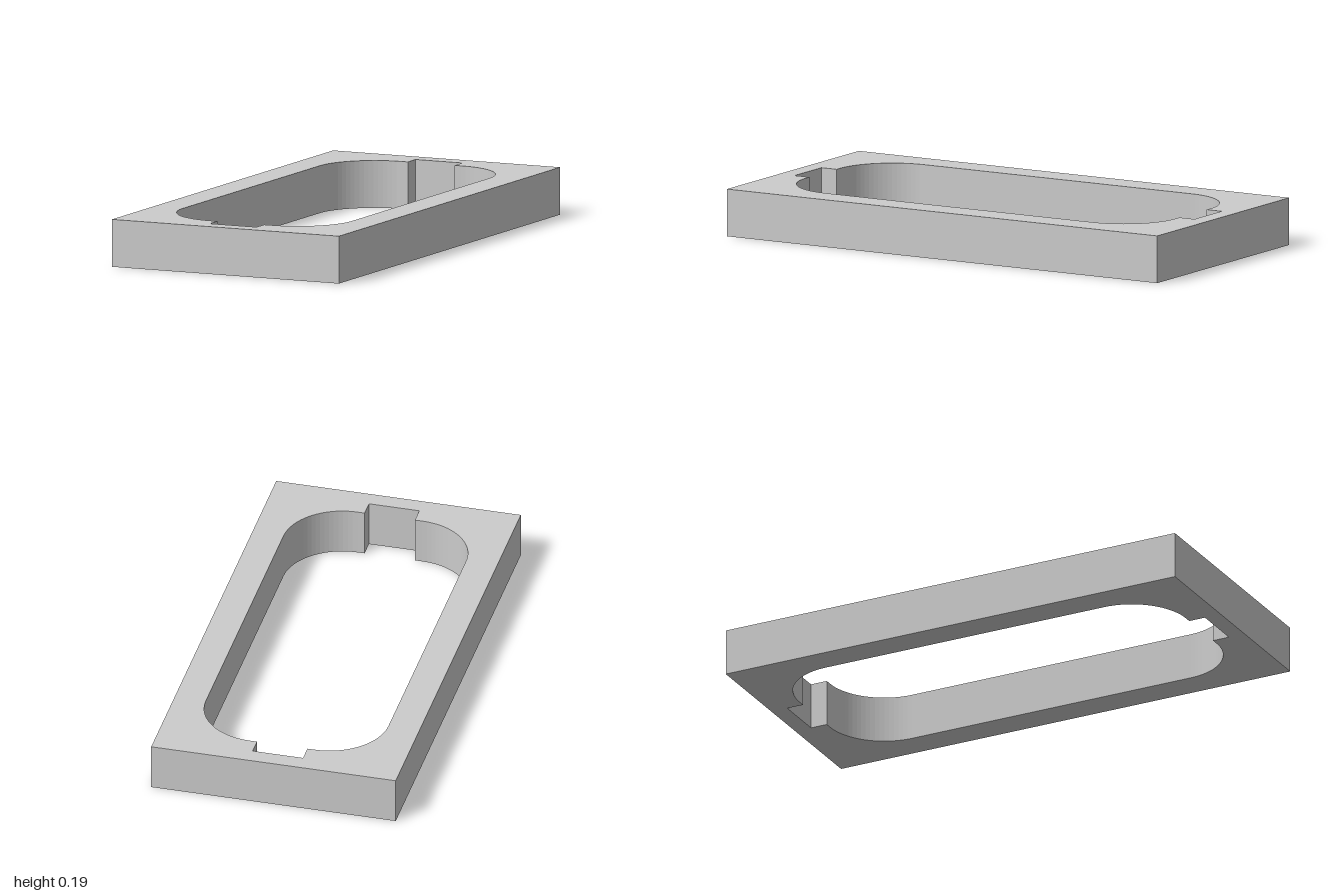
import * as THREE from 'three';

const WIDTH = 1, LENGTH = 2, HEIGHT = 0.19;
const HOLE_X = 0.373, HOLE_Z = 0.86, RADIUS = 0.24; // rounded opening, half sizes
const NOTCH_X = 0.103, NOTCH_Z = 0.93;              // square notch at each end

// Rounded opening with a notch in both short ends
function openingPath() {
  const path = new THREE.Path();
  const cx = HOLE_X - RADIUS, cz = HOLE_Z - RADIUS, q = Math.PI / 2;
  path.moveTo(HOLE_X, -cz);
  for (const s of [1, -1]) {
    const start = s > 0 ? 0 : Math.PI;
    path.lineTo(s * HOLE_X, s * cz);
    path.absarc(s * cx, s * cz, RADIUS, start, start + q, false);
    path.lineTo(s * NOTCH_X, s * HOLE_Z);
    path.lineTo(s * NOTCH_X, s * NOTCH_Z);
    path.lineTo(-s * NOTCH_X, s * NOTCH_Z);
    path.lineTo(-s * NOTCH_X, s * HOLE_Z);
    path.lineTo(-s * cx, s * HOLE_Z);
    path.absarc(-s * cx, s * cz, RADIUS, start + q, start + 2 * q, false);
  }
  path.closePath();
  return path;
}

export function createModel() {
  const group = new THREE.Group();
  group.name = 'slottedFrame';

  // Rectangular plate, extruded upwards
  const x = WIDTH / 2, z = LENGTH / 2;
  const outline = new THREE.Shape([
    new THREE.Vector2(-x, -z), new THREE.Vector2(x, -z),
    new THREE.Vector2(x, z), new THREE.Vector2(-x, z),
  ]);
  outline.holes.push(openingPath());
  const geometry = new THREE.ExtrudeGeometry(outline, {
    depth: HEIGHT, bevelEnabled: false, curveSegments: 10,
  });
  geometry.rotateX(-Math.PI / 2);

  const frame = new THREE.Mesh(
    geometry,
    new THREE.MeshStandardMaterial({ color: 0xcccccc, flatShading: true }),
  );
  frame.name = 'framePlate';
  group.add(frame);
  return group;
}
